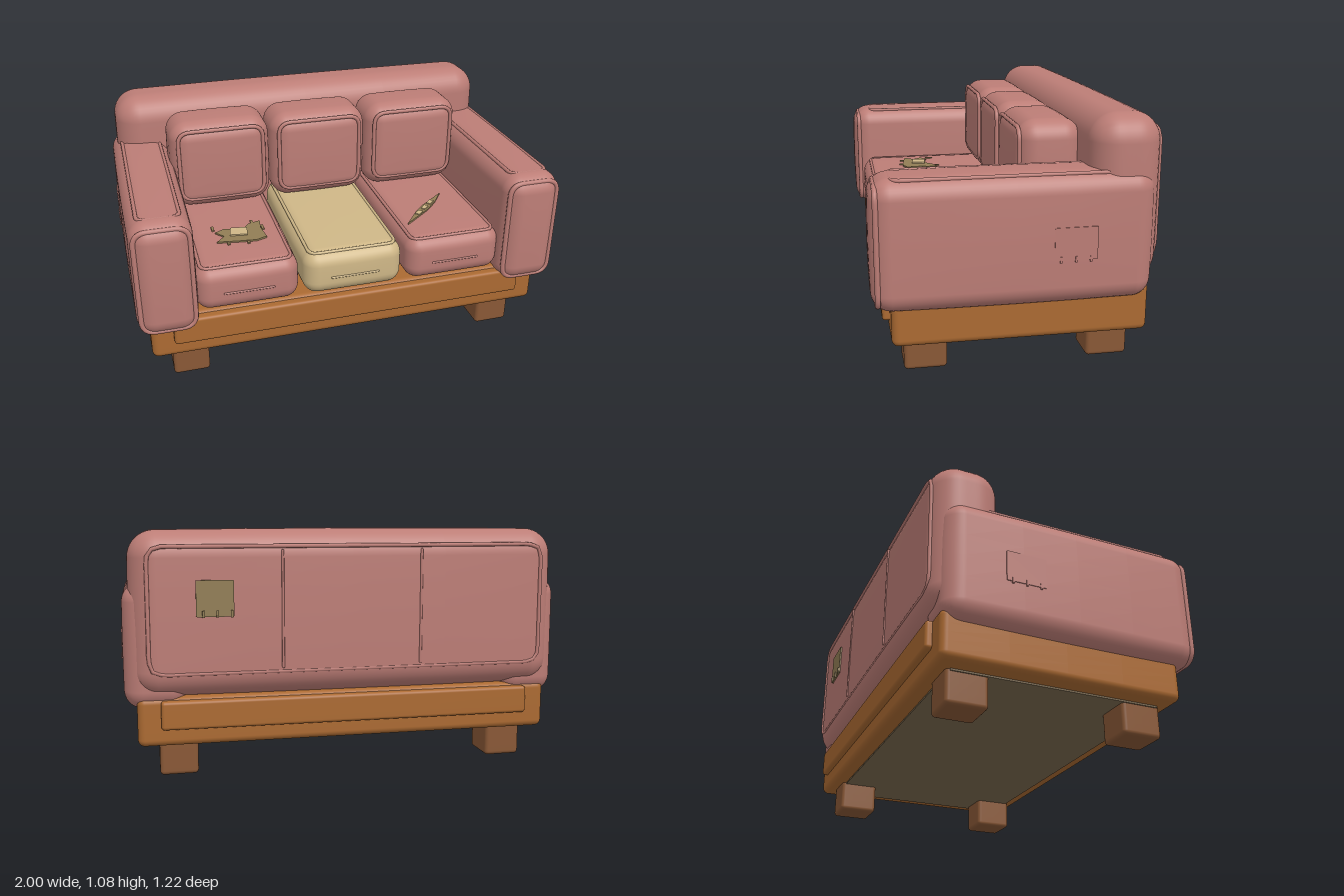
import * as THREE from 'three';
import { mergeVertices } from 'three/addons/utils/BufferGeometryUtils.js';

const paint = (name, color) => {
  const m = new THREE.MeshStandardMaterial({ color });
  m.name = name;
  return m;
};

// Rounded box whose faces swell outwards by bulge
function softBox(w, h, d, r, bulge = 0) {
  const n = 14, k = 5;
  let g = new THREE.BoxGeometry(1, 1, 1, n, n, n);
  g.deleteAttribute('uv');
  g.deleteAttribute('normal');
  g = mergeVertices(g);
  const half = [w / 2, h / 2, d / 2], p = g.attributes.position;
  // the outer k rows of each side share the rounded edge
  const remap = (t, a) => {
    const i = Math.round((t + 0.5) * n), j = Math.min(i, n - i);
    const s = i * 2 < n ? -1 : 1;
    if (j < k) return s * (a - r + r * Math.tan((1 - j / k) * Math.PI / 4));
    return (a - r) * (i - n / 2) / (n / 2 - k);
  };
  for (let i = 0; i < p.count; i++) {
    const q = [p.getX(i), p.getY(i), p.getZ(i)].map((t, a) => remap(t, half[a]));
    const c = q.map((t, a) => THREE.MathUtils.clamp(t, r - half[a], half[a] - r));
    const dir = new THREE.Vector3(...q.map((t, a) => t - c[a])).setLength(r);
    const v = [c[0] + dir.x, c[1] + dir.y, c[2] + dir.z];
    const u = v.map((t, a) => t / half[a]), f = u.map(t => 1 - t * t);
    p.setXYZ(i, v[0] + bulge * u[0] * f[1] * f[2],
      v[1] + bulge * u[1] * f[0] * f[2], v[2] + bulge * u[2] * f[0] * f[1]);
  }
  g.computeVertexNormals();
  return g;
}

// Rounded rectangle outline in the xy plane
function roundedRect(w, h, r) {
  const x = w / 2, y = h / 2, s = new THREE.Shape();
  s.moveTo(-x + r, -y).lineTo(x - r, -y).quadraticCurveTo(x, -y, x, -y + r);
  s.lineTo(x, y - r).quadraticCurveTo(x, y, x - r, y);
  s.lineTo(-x + r, y).quadraticCurveTo(-x, y, -x, y - r);
  s.lineTo(-x, -y + r).quadraticCurveTo(-x, -y, -x + r, -y);
  return s;
}

// Flat patch facing +z, its back on z = 0
const patch = (w, h, t) =>
  new THREE.ExtrudeGeometry(roundedRect(w, h, 0.006), { depth: t, bevelEnabled: false });

// Sewn piping running round a rounded rectangle
function piping(w, h, r, thick) {
  const pts = roundedRect(w, h, r).getSpacedPoints(80).slice(0, -1);
  const path = new THREE.CatmullRomCurve3(pts.map(p => new THREE.Vector3(p.x, p.y, 0)), true);
  return new THREE.TubeGeometry(path, 120, thick, 8, true);
}

// Flat scrap lying on a seat, from [x, z] corners
function scrap(points) {
  const s = new THREE.Shape(points.map(([x, z]) => new THREE.Vector2(x, -z)));
  return new THREE.ExtrudeGeometry(s, { depth: 0.009, bevelEnabled: false }).rotateX(-Math.PI / 2);
}

export function createModel() {
  const sofa = new THREE.Group();
  sofa.name = 'sofa';
  const fabric = paint('rose fabric', 0xbc7d76);
  const tan = paint('tan fabric', 0xcfb787);
  const wood = paint('wood', 0xab6a32);
  const legWood = paint('dark wood', 0x895836);
  const olive = paint('olive patch', 0x917d55);
  const under = paint('underside cloth', 0x7a684e);

  const add = (name, geo, mat, x = 0, y = 0, z = 0) => {
    const m = new THREE.Mesh(geo, mat);
    m.name = name;
    m.position.set(x, y, z);
    sofa.add(m);
    return m;
  };

  // Wooden base, rails, underside and legs
  add('base', softBox(1.87, 0.215, 1.08, 0.03), wood, 0, 0.2525, -0.012);
  add('frontRail', softBox(1.67, 0.125, 0.08, 0.015), wood, 0, 0.287, 0.52);
  add('backRail', softBox(1.67, 0.125, 0.08, 0.015), wood, 0, 0.284, -0.54);
  add('underside', new THREE.BoxGeometry(1.7, 0.012, 0.94), under, 0, 0.143, -0.01);
  for (const x of [-0.76, 0.76])
    for (const z of [0.383, -0.405])
      add('leg', softBox(0.168, 0.17, 0.182, 0.018), legWood, x, 0.085, z);

  // Backrest with piping, seams and a patch behind
  add('backrest', softBox(1.915, 0.715, 0.3, 0.115, 0.006), fabric, 0, 0.716, -0.442);
  add('backPiping', piping(1.76, 0.54, 0.06, 0.009), fabric, 0, 0.735, -0.588);
  for (const x of [-0.31, 0.31])
    add('backSeam', new THREE.CapsuleGeometry(0.006, 0.5, 4, 8), fabric, x, 0.735, -0.596);
  add('backPatch', patch(0.16, 0.155, 0.009), olive, 0.6, 0.787, -0.594).rotation.y = Math.PI;
  for (const x of [0.53, 0.59, 0.65])
    add('backStitch', new THREE.BoxGeometry(0.01, 0.03, 0.01), olive, x, 0.722, -0.605);

  // Arms with piping and mended outer sides
  for (const s of [-1, 1]) {
    const x = s * 0.852;
    add('arm', softBox(0.27, 0.545, 1.155, 0.08, 0.009), fabric, x, 0.578, 0.026);
    add('armFrontPiping', piping(0.235, 0.49, 0.06, 0.012), fabric, x, 0.575, 0.58);
    add('armTopPiping', piping(0.18, 0.92, 0.04, 0.009), fabric, x, 0.845, 0.06).rotation.x = -Math.PI / 2;
    add('armPatch', patch(0.178, 0.138, 0.008), fabric, s * 0.989, 0.57, -0.213).rotation.y = s * Math.PI / 2;
    for (const z of [-0.15, -0.213, -0.275])
      add('armStitch', new THREE.BoxGeometry(0.009, 0.026, 0.008), fabric, s * 0.9955, 0.505, z);
  }

  // Seat and back cushions
  [-0.49, 0, 0.49].forEach((x, i) => {
    const cover = i === 1 ? tan : fabric;
    add('seatCushion', softBox(0.465, 0.215, 0.86, 0.065, 0.006), cover, x, 0.475, 0.13);
    add('seatPiping', piping(0.41, 0.79, 0.04, 0.008), cover, x, 0.574, 0.13).rotation.x = -Math.PI / 2;
    add('seatCrease', new THREE.CapsuleGeometry(0.005, 0.22, 4, 8), cover, x, 0.46, 0.565).rotation.z = Math.PI / 2;
    add('backCushion', softBox(0.475, 0.43, 0.28, 0.08, 0.008), fabric, x, 0.802, -0.173);
    add('backCushionPiping', piping(0.41, 0.35, 0.06, 0.01), fabric, x, 0.812, -0.041);
  });

  // Worn hole with a small mend and loose threads on one seat
  add('wornHole', scrap([[-0.585, 0.245], [-0.54, 0.22], [-0.5, 0.235], [-0.44, 0.225], [-0.42, 0.2],
    [-0.36, 0.18], [-0.37, 0.25], [-0.36, 0.34], [-0.41, 0.36], [-0.5, 0.35], [-0.59, 0.335],
    [-0.55, 0.29]]), olive, 0, 0.585);
  add('holeMend', new THREE.BoxGeometry(0.08, 0.009, 0.068), tan, -0.478, 0.596, 0.268).rotation.y = -0.15;
  for (const [x, z] of [[-0.59, 0.2], [-0.54, 0.345], [-0.45, 0.355], [-0.36, 0.24], [-0.4, 0.185]])
    add('looseThread', new THREE.BoxGeometry(0.012, 0.009, 0.04), olive, x, 0.588, z);

  // Diagonal tear with loose stuffing on the other seat
  add('tear', scrap([[0.31, 0.402], [0.385, 0.305], [0.45, 0.24], [0.585, 0.135], [0.52, 0.225],
    [0.45, 0.295]]), olive, 0, 0.585);
  for (const t of [0.33, 0.5, 0.67])
    add('stuffing', new THREE.BoxGeometry(0.04, 0.009, 0.022), tan,
      0.31 + 0.275 * t, 0.594, 0.402 - 0.265 * t).rotation.y = 0.77;

  return sofa;
}
